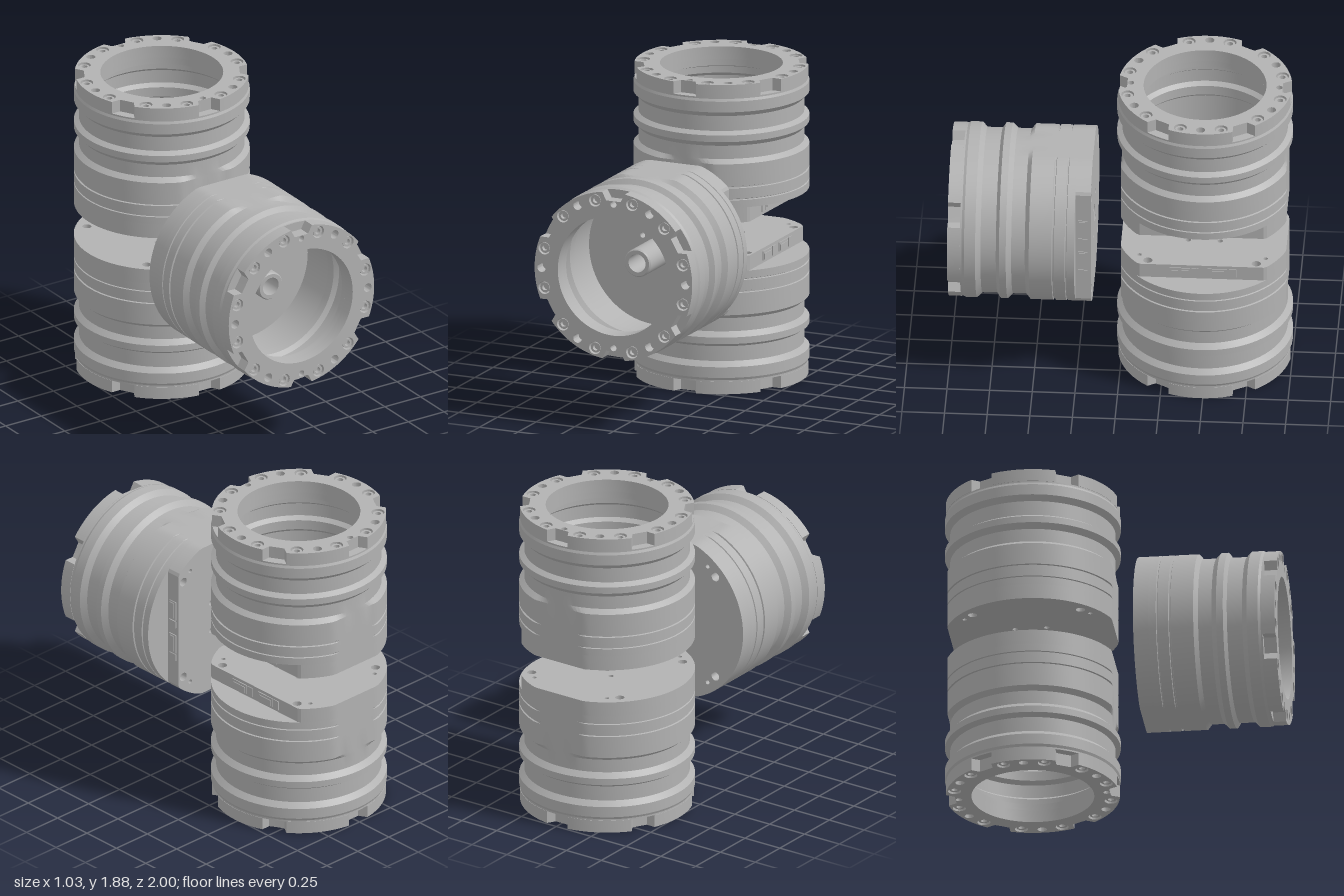
import * as THREE from 'three';
import { toCreasedNormals } from 'three/addons/utils/BufferGeometryUtils.js';

const R = 0.515;      // outer radius of the housing
const FLAT = 0.485;   // distance of the two side flats from the axis
const STEP = 0.355;   // distance of the connector wall from the axis
const CREASE = 0.3;
const rad = THREE.MathUtils.degToRad;
const polar = (r, deg) => new THREE.Vector2(r * Math.cos(rad(deg)), r * Math.sin(rad(deg)));

const grey = new THREE.MeshStandardMaterial({ color: 0xb2b2b2 });
grey.name = 'machined grey';

function part(geometry, name) {
  const mesh = new THREE.Mesh(geometry, grey);
  mesh.name = name;
  return mesh;
}

// Adds a round hole to a shape
function drill(shape, x, y, r) {
  shape.holes.push(new THREE.Path().absarc(x, y, r, 0, Math.PI * 2, true));
}

// Extrudes a shape along y, from y0 to y1
function slab(shape, y0, y1, curveSegments = 12) {
  const g = new THREE.ExtrudeGeometry(shape, { depth: y1 - y0, bevelEnabled: false, curveSegments });
  g.rotateX(-Math.PI / 2).translate(0, y0, 0);
  return toCreasedNormals(g, CREASE);
}

function lathe(profile, segments) {
  return new THREE.LatheGeometry(profile.map(([r, y]) => new THREE.Vector2(r, y)), segments);
}

// Four pin holes and the central bore, shared by floor and end plate
function drillCentre(shape) {
  drill(shape, 0, 0, 0.055);
  for (const sx of [-1, 1]) for (const sy of [-1, 1]) drill(shape, sx * 0.093, sy * 0.093, 0.016);
}

// Beaded wall: up the outside, down the stepped inside; lower body gets two flats
function wallGeometry() {
  const g = lathe([
    [0.44, 0.09], [R, 0.09],
    [R, 0.135], [0.508, 0.138], [0.508, 0.142], [R, 0.145],
    [R, 0.208], [0.506, 0.211], [0.506, 0.219], [R, 0.222],
    [R, 0.355], [FLAT, 0.38],
    [FLAT, 0.46], [R, 0.49], [R, 0.53], [FLAT, 0.55],
    [FLAT, 0.64], [R, 0.67], [R, 0.735], [0.508, 0.75], [0.508, 0.76],
    [0.36, 0.76], [0.36, 0.72], [0.42, 0.70], [0.42, 0.66],
    [0.445, 0.64], [0.445, 0.56], [0.42, 0.54], [0.42, 0.48],
    [0.44, 0.46], [0.44, 0.09],
  ], 120);
  const p = g.attributes.position;
  for (let i = 0; i < p.count; i++) {
    if (p.getY(i) < 0.385) p.setZ(i, THREE.MathUtils.clamp(p.getZ(i), -FLAT, FLAT));
  }
  return toCreasedNormals(g, CREASE);
}

// Bolting flange with six notches, bolt holes and plain holes
function flangeGeometry() {
  const pts = [];
  for (let k = 0; k < 6; k++) {
    const a = 30 + 60 * k;
    pts.push(polar(0.51, a - 8.3), polar(0.458, a - 5.8), polar(0.455, a), polar(0.458, a + 5.8));
    for (let i = 0; i < 14; i++) pts.push(polar(0.51, a + 8.3 + (43.4 * i) / 14));
  }
  const shape = new THREE.Shape(pts);
  drill(shape, 0, 0, 0.36);
  for (let k = 0; k < 12; k++) {
    const b = polar(0.463, 15 + 30 * k);
    drill(shape, b.x, b.y, 0.038);
    if (k % 2 === 0) {
      const h = polar(0.465, 30 * k);
      drill(shape, h.x, h.y, 0.027);
    }
  }
  drill(shape, 0, 0.435, 0.019);
  drill(shape, 0, -0.435, 0.019);
  return slab(shape, 0.76, 0.835, 32);
}

// End plate: circle cut by two flats and the connector wall
function endPlateGeometry() {
  const pts = [];
  for (let i = 0; i < 120; i++) {
    const v = polar(R, i * 3);
    pts.push(new THREE.Vector2(Math.min(v.x, STEP), THREE.MathUtils.clamp(v.y, -FLAT, FLAT)));
  }
  const shape = new THREE.Shape(pts);
  drillCentre(shape);
  for (const sx of [-1, 1]) for (const sy of [-1, 1]) {
    drill(shape, sx * 0.316, sy * 0.318, 0.027);
    drill(shape, sx * 0.26, sy * 0.37, 0.013);
  }
  return slab(shape, 0, 0.09, 16);
}

function floorGeometry() {
  const shape = new THREE.Shape().absarc(0, 0, 0.442, 0, Math.PI * 2);
  drillCentre(shape);
  return slab(shape, 0.09, 0.235, 32);
}

// One housing: closed end at y = 0, open flange at y = 0.835, connectors on +x
function createHousing(name) {
  const housing = new THREE.Group();
  housing.name = name;
  housing.add(
    part(wallGeometry(), 'beadedWall'),
    part(flangeGeometry(), 'flange'),
    part(endPlateGeometry(), 'endPlate'),
    part(floorGeometry(), 'innerFloor'),
  );

  // Hollow shaft boss on the floor
  const boss = lathe([[0.055, 0.235], [0.085, 0.235], [0.085, 0.5], [0.078, 0.51],
    [0.055, 0.51], [0.055, 0.235]], 32);
  housing.add(part(toCreasedNormals(boss, CREASE), 'shaftBoss'));

  // Socket bolts in the flange
  const bolt = toCreasedNormals(lathe([[0.031, 0.76], [0.031, 0.826], [0.018, 0.826],
    [0.018, 0.80], [0, 0.80]], 16), CREASE);
  for (let k = 0; k < 12; k++) {
    const b = polar(0.463, 15 + 30 * k);
    const mesh = part(bolt, 'flangeBolt');
    mesh.position.set(b.x, 0, b.y);
    housing.add(mesh);
  }

  // Two connectors on the step wall, each a narrow and a wide plate
  const plate = (y, z, h, w, t) => {
    const mesh = part(new THREE.BoxGeometry(t, h, w), 'connectorPlate');
    mesh.position.set(STEP + t / 2, y, z);
    housing.add(mesh);
  };
  for (const z of [0, -0.22]) {
    plate(0.047, 0.182 + z, 0.056, 0.042, 0.005);
    plate(0.047, 0.093 + z, 0.056, 0.12, 0.005);
    plate(0.052, 0.093 + z, 0.036, 0.10, 0.009);
  }
  return housing;
}

export function createModel() {
  const model = new THREE.Group();
  model.name = 'threeWayHousing';

  const upper = createHousing('upperHousing');
  upper.position.set(0, 1.04, -0.485);

  const lower = createHousing('lowerHousing');
  lower.rotation.x = Math.PI;
  lower.position.set(0, 0.835, -0.485);

  const front = createHousing('frontHousing');
  front.rotation.x = Math.PI / 2;
  front.position.set(0, 0.94, 0.165);

  model.add(upper, lower, front);
  return model;
}
